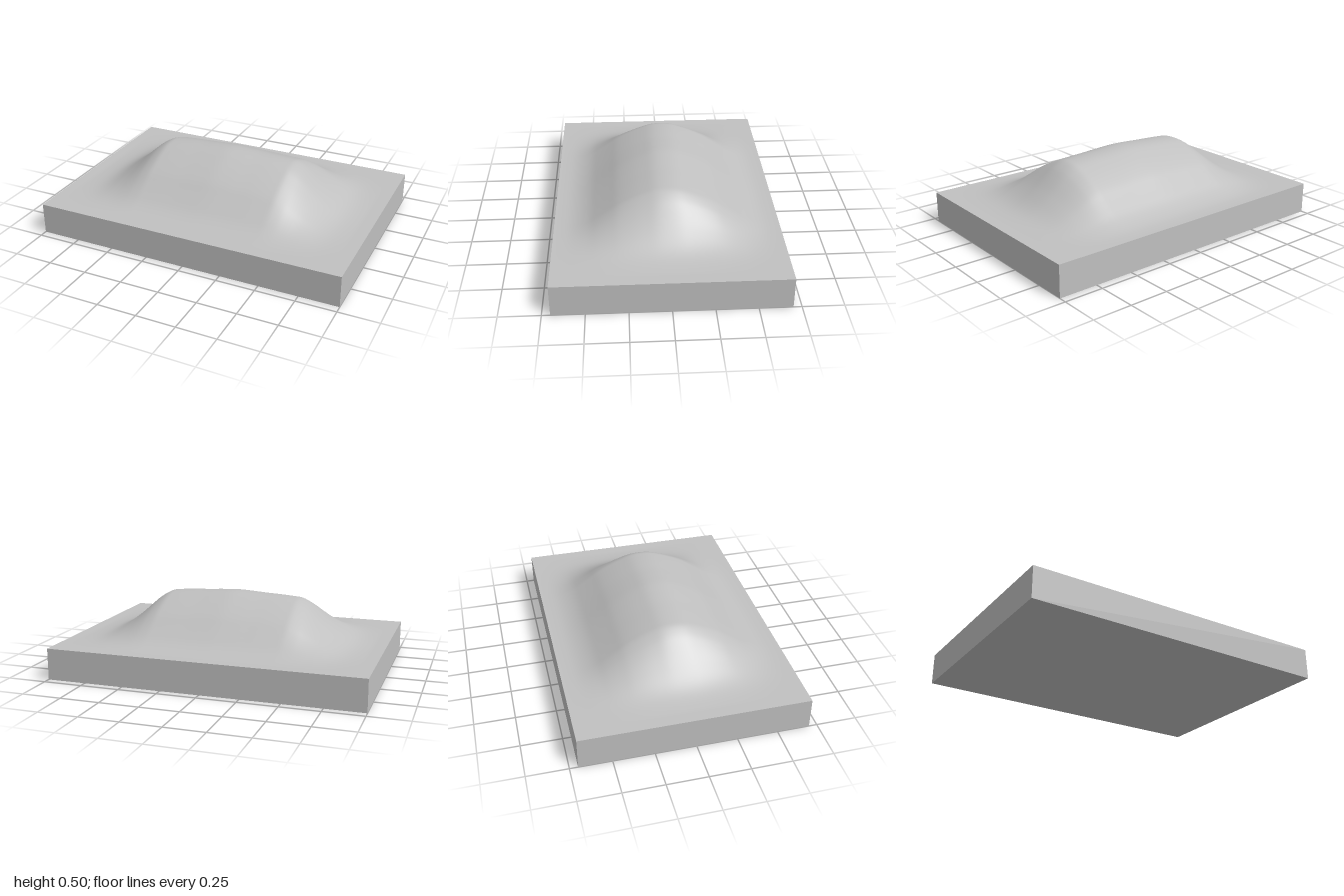
import * as THREE from 'three';

const HALF_X = 1, HALF_Z = 0.7, SLAB = 0.2, RISE = 0.3;

// Fall-off of the mound from its centre: [distance, share of full height]
const ALONG = [[0, 1], [0.1, 0.985], [0.2, 0.963], [0.3, 0.945], [0.4, 0.92], [0.44, 0.9], [0.5, 0.79],
  [0.54, 0.68], [0.635, 0.4], [0.73, 0.17], [0.81, 0.055], [0.92, 0], [1, 0]];
const ACROSS = [[0, 1], [0.07, 0.975], [0.14, 0.89], [0.22, 0.765], [0.3, 0.61], [0.36, 0.46],
  [0.42, 0.31], [0.48, 0.17], [0.54, 0.075], [0.6, 0.02], [0.67, 0], [0.7, 0]];

// Smooth (Hermite) reading of a profile
function sample(points, d) {
  const last = points.length - 1;
  let i = 0;
  while (i < last - 1 && d > points[i + 1][0]) i++;
  const slope = (k) => {
    if (k === 0 || k === last) return 0;
    const [a, b] = [points[k - 1], points[k + 1]];
    return (b[1] - a[1]) / (b[0] - a[0]);
  };
  const [x0, y0] = points[i], [x1, y1] = points[i + 1];
  const w = x1 - x0, t = Math.min((d - x0) / w, 1), t2 = t * t, t3 = t2 * t;
  const v = (2 * t3 - 3 * t2 + 1) * y0 + (t3 - 2 * t2 + t) * w * slope(i)
    + (3 * t2 - 2 * t3) * y1 + (t3 - t2) * w * slope(i + 1);
  return Math.max(v, 0);
}

export function createModel() {
  const model = new THREE.Group();
  model.name = 'moundOnSlab';
  const grey = new THREE.MeshStandardMaterial({ color: 0xc0c0c0 });
  grey.name = 'plain grey';

  // Slab: a box left open where the ground surface covers it
  const box = new THREE.BoxGeometry(HALF_X * 2, SLAB, HALF_Z * 2);
  const index = Array.from(box.index.array);
  index.splice(12, 6); // top face
  box.setIndex(index);
  box.clearGroups();
  box.translate(0, SLAB / 2, 0);
  const slab = new THREE.Mesh(box, grey);
  slab.name = 'slab';
  model.add(slab);

  // Ground surface: a fine grid raised into a smooth, ridged mound
  const ground = new THREE.PlaneGeometry(HALF_X * 2, HALF_Z * 2, 120, 84);
  ground.rotateX(-Math.PI / 2);
  const pos = ground.attributes.position;
  for (let i = 0; i < pos.count; i++) {
    const along = sample(ALONG, Math.abs(pos.getX(i)));
    const across = sample(ACROSS, Math.abs(pos.getZ(i)));
    pos.setY(i, SLAB + RISE * along * across);
  }
  ground.computeVertexNormals();
  const mound = new THREE.Mesh(ground, grey);
  mound.name = 'mound';
  model.add(mound);

  return model;
}
